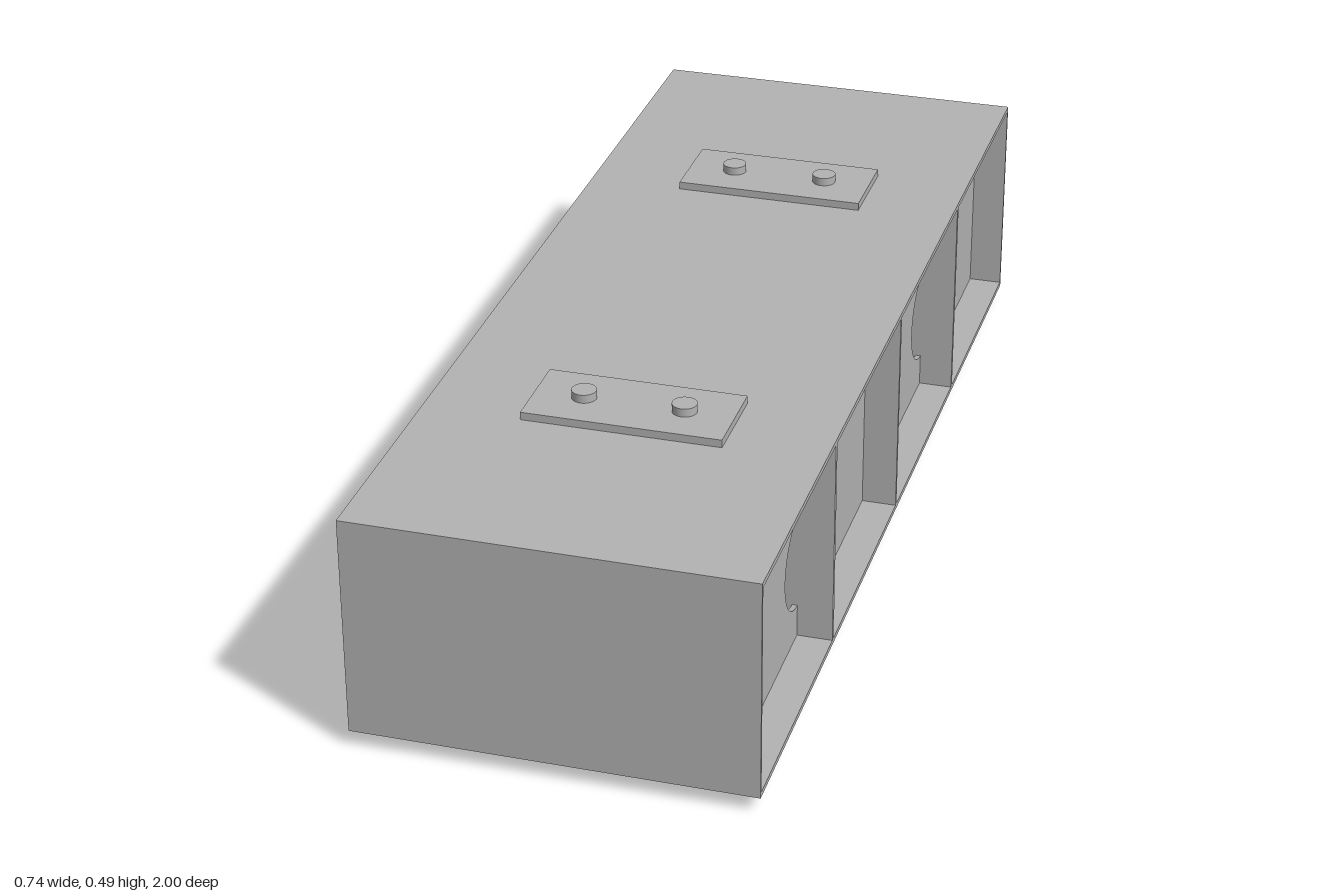
import * as THREE from 'three';

export function createModel() {
  const group = new THREE.Group();
  const steel = new THREE.MeshStandardMaterial({ color: 0xb3b3b3 });
  steel.name = 'grey steel';

  const add = (name, geometry, x, y, z) => {
    const mesh = new THREE.Mesh(geometry, steel);
    mesh.name = name;
    mesh.position.set(x, y, z);
    group.add(mesh);
    return mesh;
  };
  const box = (name, w, h, d, x, y, z) => add(name, new THREE.BoxGeometry(w, h, d), x, y, z);

  const width = 0.74, length = 2, bottom = 0.032, top = 0.455, plate = 0.01;
  const midY = (bottom + top) / 2;
  const innerH = top - bottom - 2 * plate;

  // Top and bottom skins
  box('topPlate', width, plate, length, 0, top - plate / 2, 0);
  box('bottomPlate', width, plate, length, 0, bottom + plate / 2, 0);

  // End plates and cross ribs
  for (const s of [1, -1]) {
    box(s > 0 ? 'frontPlate' : 'backPlate', width, innerH, 0.006, 0, midY, s * 0.997);
    box('crossRib', width, innerH, plate, 0, midY, s * 0.5);
  }
  box('middleRib', width, innerH, 0.008, 0, midY, 0);

  // Recessed side webs with a round opening at each cross rib
  const web = new THREE.Shape();
  const y0 = bottom + plate, y1 = top - plate;
  web.moveTo(-0.994, y0);
  web.lineTo(0.994, y0);
  web.lineTo(0.994, y1);
  web.lineTo(-0.994, y1);
  web.closePath();
  for (const z of [-0.5, 0.5]) {
    const hole = new THREE.Path();
    hole.absarc(z, 0.2, 0.095, 0, Math.PI * 2, true);
    web.holes.push(hole);
  }
  const webGeometry = new THREE.ExtrudeGeometry(web, { depth: plate, bevelEnabled: false, curveSegments: 40 });
  webGeometry.translate(0, 0, -plate / 2);
  webGeometry.rotateY(Math.PI / 2);
  for (const s of [1, -1]) add(s > 0 ? 'leftWeb' : 'rightWeb', webGeometry, s * 0.299, 0, 0);

  // Mounting pads with two pins each, above and below
  for (const z of [-0.5, 0.5]) {
    box('topPad', 0.37, 0.015, 0.168, 0, 0.4625, z);
    box('bottomPad', 0.37, 0.015, 0.168, 0, 0.0245, z);
    for (const x of [-0.093, 0.093]) {
      const pin = new THREE.CylinderGeometry(0.023, 0.023, 0.017, 32);
      add('topPin', pin, x, 0.4775, z);
      add('bottomPin', pin, x, 0.0085, z);
    }
  }
  return group;
}
